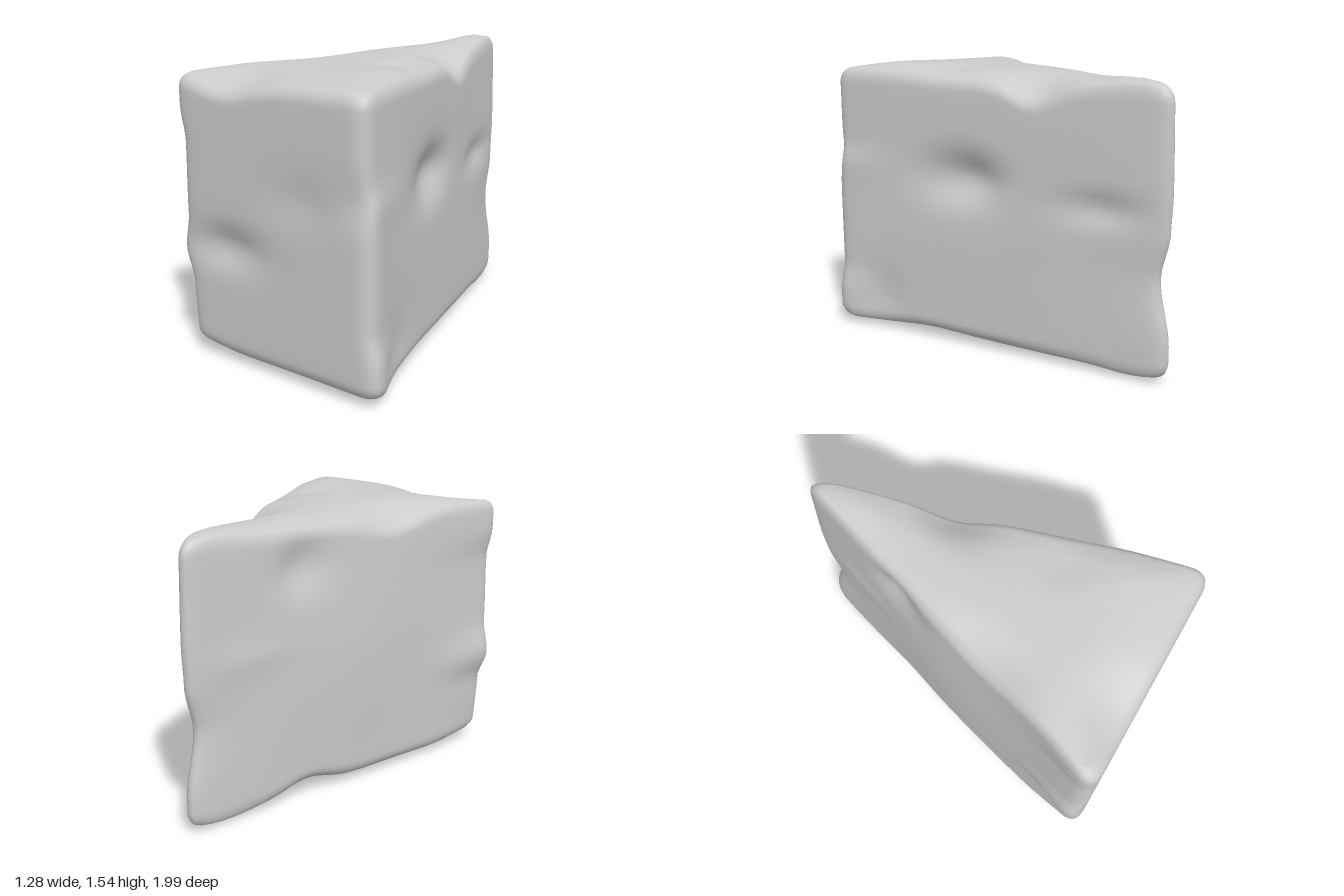
import * as THREE from 'three';

// The three upright edges: base corner (x, z), softening length, and wobble as [height, offset] pairs
const EDGES = [
  { corner: new THREE.Vector2(-0.63, 0.995), soft: 0.12, push: new THREE.Vector2(1, 0),
    wobble: [[0.05, 0.03], [0.4, 0.015], [0.58, -0.04], [0.77, -0.008], [1.15, 0], [1.33, -0.03]] },
  { corner: new THREE.Vector2(0.63, 0.995), soft: 0.12, push: new THREE.Vector2(1, 0),
    wobble: [[0.2, 0.035], [0.38, 0.003], [0.95, 0.003], [1.1, -0.02]] },
  { corner: new THREE.Vector2(0, -1.105), soft: 0.22, push: new THREE.Vector2(0, 1),
    wobble: [[0.2, 0], [0.55, 0.065], [0.8, 0.01], [1, 0], [1.53, 0.01]] },
];

// Dents of each face: two coordinates on the face, two radii, depth (negative = bump)
const FACES = [
  { // right side: z, y
    normal: [0.95, 0, 0.3], place: (z, y) => [0.3 * (z + 1.1), y, z], radii: (a, b) => [0.25, b, a],
    dents: [[0.17, 0.95, 0.22, 0.13, 0.1], [-0.62, 0.88, 0.2, 0.08, 0.045], [0.7, 0.2, 0.16, 0.15, 0.035]],
  },
  { // left side: z, y
    normal: [-0.95, 0, 0.3], place: (z, y) => [-0.3 * (z + 1.1), y, z], radii: (a, b) => [0.25, b, a],
    dents: [[-0.33, 1.3, 0.13, 0.13, 0.06], [-0.05, 0.75, 0.55, 0.6, -0.045]],
  },
  { // front: x, y
    normal: [0, 0, 1], place: (x, y) => [x, y, 0.98], radii: (a, b) => [a, b, 0.2],
    dents: [[-0.3, 0.63, 0.22, 0.1, 0.05], [0.2, 0.95, 0.2, 0.12, 0.015], [0.56, 1.0, 0.1, 0.1, 0.02]],
  },
  { // top: x, z
    normal: [0, 1, 0], place: (x, z) => [x, 1.5, z], radii: (a, b) => [a, 0.2, b],
    dents: [[0.24, -0.27, 0.14, 0.18, 0.1], [-0.3, 0.97, 0.24, 0.2, 0.07], [-0.42, 0.22, 0.14, 0.25, 0.07],
      [0.23, 0.35, 0.08, 0.12, 0.02], [0, -0.8, 0.15, 0.2, -0.03], [0.35, 0.6, 0.2, 0.2, -0.015]],
  },
  { // underside: x, z
    normal: [0, -1, 0], place: (x, z) => [x, 0.03, z], radii: (a, b) => [a, 0.15, b],
    dents: [[-0.24, -0.31, 0.15, 0.2, 0.07], [-0.55, 0.95, 0.2, 0.2, 0.03], [0.3, 0.45, 0.2, 0.2, 0.02],
      [0, -0.75, 0.12, 0.15, -0.02]],
  },
];

// Smooth interpolation along a wobble table
function sample(table, y) {
  const i = table.findIndex(([height]) => y <= height);
  if (i === 0) return table[0][1];
  if (i < 0) return table[table.length - 1][1];
  const [y0, a] = table[i - 1], [y1, b] = table[i];
  return THREE.MathUtils.lerp(a, b, THREE.MathUtils.smoothstep(y, y0, y1));
}

// Press every dent into a point with a soft falloff
function dent(p) {
  const out = p.clone();
  for (const { normal, place, radii, dents } of FACES) {
    for (const [u, v, ru, rv, depth] of dents) {
      const d = p.clone().sub(new THREE.Vector3(...place(u, v))).divide(new THREE.Vector3(...radii(ru, rv)));
      out.addScaledVector(new THREE.Vector3(...normal), -depth * Math.exp(-d.lengthSq()));
    }
  }
  return out;
}

// Triangle with softened corners, as one loop of points
function baseLoop() {
  const side = 24;
  const toward = (from, to, d) => to.clone().sub(from).setLength(d).add(from);
  return EDGES.flatMap(({ corner, soft }, i) => {
    const prev = EDGES[(i + 2) % 3], next = EDGES[(i + 1) % 3];
    const start = toward(corner, next.corner, soft), end = toward(next.corner, corner, next.soft);
    const points = new THREE.QuadraticBezierCurve(toward(corner, prev.corner, soft), corner, start).getPoints(6);
    for (let k = 1; k < side; k++) points.push(start.clone().lerp(end, k / side));
    return points;
  });
}

// Shift a loop point by the wobble of the edges close to it
function wobble(q, y) {
  const out = q.clone();
  for (const { corner, push, wobble: table } of EDGES) {
    const near = Math.min(1, 1.15 * Math.exp(-((q.distanceTo(corner) / 0.3) ** 2)));
    out.addScaledVector(push, sample(table, y) * near);
  }
  return out;
}

// Rows run from the underside centre, round the rim, up the sides and over the crowned top
function makeRows() {
  const bottom = 0.04, top = 1.507, r = 0.08, crown = 0.03;
  const cap = [0, 0.15, 0.3, 0.45, 0.6, 0.72, 0.83, 0.92].map((scale) => ({ scale, rise: crown * (1 - scale ** 4) }));
  const arc = [0, 1, 2, 3, 4, 5].map((i) => {
    const a = (i / 5) * Math.PI / 2;
    return { rise: r * (1 - Math.cos(a)), inset: r * (1 - Math.sin(a)) };
  });
  const rows = cap.map(({ scale, rise }) => ({ y: bottom - rise, inset: r, scale }));
  arc.forEach(({ rise, inset }) => rows.push({ y: bottom + rise, inset, scale: 1 }));
  for (let i = 1; i < 30; i++) rows.push({ y: THREE.MathUtils.lerp(bottom + r, top - r, i / 30), inset: 0, scale: 1 });
  arc.reverse().forEach(({ rise, inset }) => rows.push({ y: top - rise, inset, scale: 1 }));
  cap.reverse().forEach(({ scale, rise }) => rows.push({ y: top + rise, inset: r, scale }));
  return rows;
}

// Skin the rows into one smooth closed surface
function stoneGeometry() {
  const centre = new THREE.Vector2(0, 0.32);
  const rows = makeRows(), loop = baseLoop(), n = loop.length;
  const positions = [], index = [];
  for (const { y, inset, scale } of rows) {
    for (const q of loop) {
      const d = wobble(q, y).sub(centre);
      d.setLength(d.length() - inset).multiplyScalar(scale).add(centre);
      positions.push(...dent(new THREE.Vector3(d.x, y, d.y)).toArray());
    }
  }
  for (let j = 0; j < rows.length - 1; j++) {
    for (let i = 0; i < n; i++) {
      const a = j * n + i, b = j * n + (i + 1) % n, c = a + n, d = b + n;
      if (rows[j].scale > 0) index.push(a, b, d);
      if (rows[j + 1].scale > 0) index.push(a, d, c);
    }
  }
  const geometry = new THREE.BufferGeometry();
  geometry.setAttribute('position', new THREE.Float32BufferAttribute(positions, 3));
  geometry.setIndex(index);
  geometry.computeVertexNormals();
  return geometry;
}

export function createModel() {
  const group = new THREE.Group();
  group.name = 'wedgeStone';
  const stone = new THREE.Mesh(stoneGeometry(), new THREE.MeshStandardMaterial({ color: 0xcccccc }));
  stone.name = 'stone';
  group.add(stone);
  return group;
}
